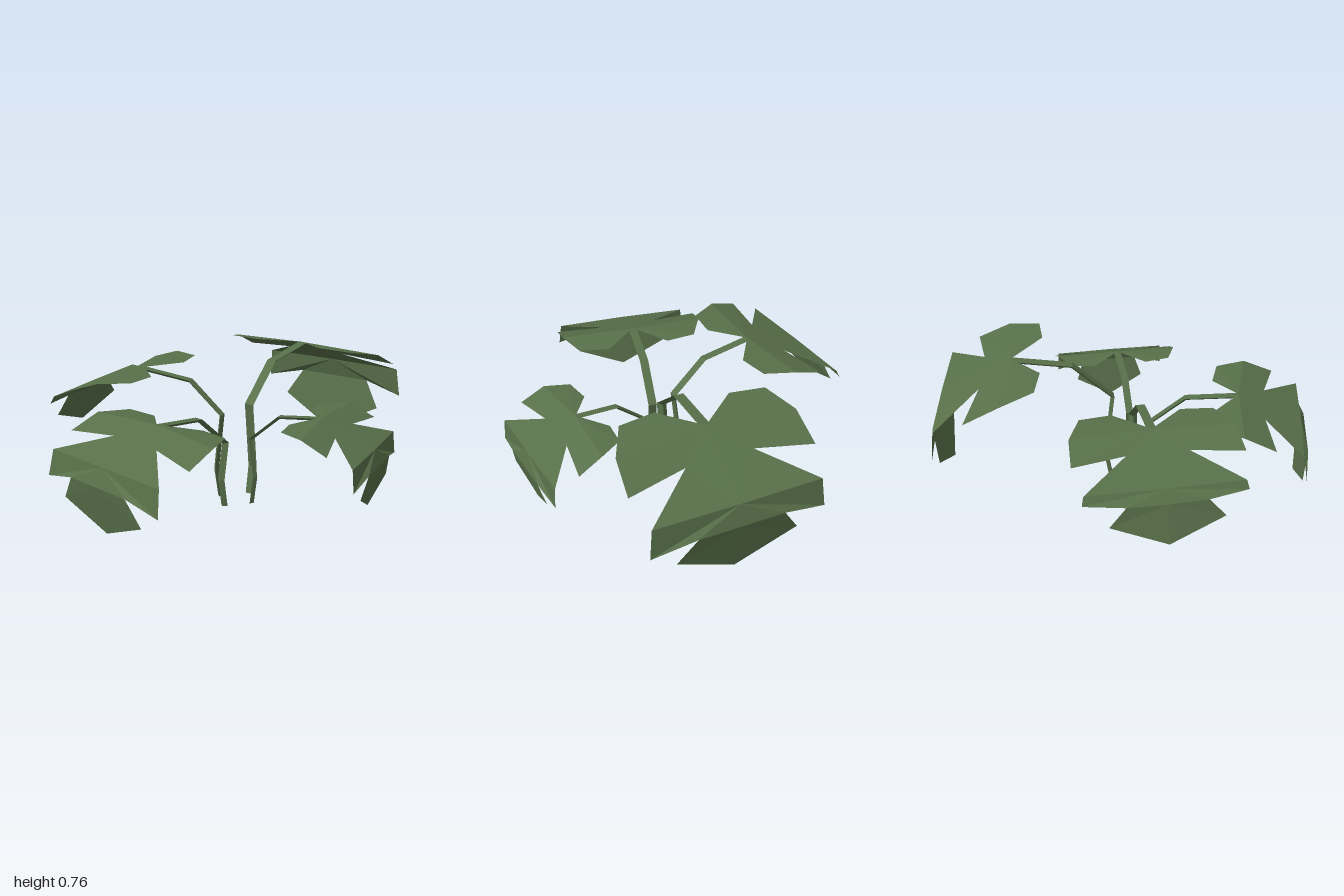
import * as THREE from 'three';

const leafGreen = new THREE.MeshStandardMaterial({ color: 0x58704a, side: THREE.DoubleSide, flatShading: true });
leafGreen.name = 'leafGreen';

function facetedMesh(name, positions) {
  const geometry = new THREE.BufferGeometry();
  geometry.setAttribute('position', new THREE.Float32BufferAttribute(positions, 3));
  geometry.computeVertexNormals();
  const mesh = new THREE.Mesh(geometry, leafGreen);
  mesh.name = name;
  return mesh;
}

// Half of a lobed, drooping leaf: x across, y up, z outward from the stalk
const half = {
  notch: [0, 0, 0],
  backInner: [0.17, -0.025, -0.14],
  backOuter: [0.33, -0.02, -0.12],
  sideTop: [0.4, -0.015, 0.03],
  sideEnd: [0.41, -0.075, 0.19],
  firstCut: [0.15, -0.055, 0.14],
  middleTop: [0.37, -0.125, 0.33],
  middleEnd: [0.385, -0.255, 0.355],
  secondCut: [0.19, -0.21, 0.37],
  endLobe: [0.27, -0.335, 0.35],
  tip: [0, -0.45, 0.325],
  ribBend: [0, -0.123, 0.335],
  ribEdge: [0, -0.21, 0.37],
};

// Leaf whose end stays more open and droops less
const openEnd = {
  backInner: [0.17, 0.003, -0.145],
  backOuter: [0.33, 0.005, -0.125],
  sideTop: [0.4, 0, 0.03],
  sideEnd: [0.41, -0.05, 0.185],
  firstCut: [0.15, -0.045, 0.14],
  middleTop: [0.375, -0.11, 0.325],
  middleEnd: [0.385, -0.15, 0.345],
  secondCut: [0.19, -0.16, 0.375],
  endLobe: [0.27, -0.25, 0.39],
  tip: [0, -0.35, 0.43],
  ribBend: [0, -0.11, 0.33],
  ribEdge: [0, -0.165, 0.375],
};
// Leaf with raised back lobes and a longer tip
const raisedBack = { backInner: [0.17, 0.008, -0.14], backOuter: [0.33, 0.005, -0.12], tip: [0, -0.47, 0.335] };
// Leaf with a narrower end
const narrowEnd = { middleEnd: [0.375, -0.25, 0.35], endLobe: [0.235, -0.335, 0.35] };

// Each facet is a fan around its first point
const facets = [
  ['notch', 'firstCut', 'sideEnd', 'sideTop', 'backOuter', 'backInner'],
  ['ribBend', 'middleTop', 'firstCut', 'notch'],
  ['ribBend', 'ribEdge', 'secondCut', 'middleEnd', 'middleTop'],
  ['ribEdge', 'tip', 'endLobe', 'secondCut'],
];

function makeBlade(shape) {
  const points = { ...half, ...shape };
  const positions = [];
  for (const side of [1, -1]) {
    for (const facet of facets) {
      for (let i = 1; i < facet.length - 1; i++) {
        const order = side > 0 ? [0, i, i + 1] : [0, i + 1, i];
        for (const k of order) {
          const [x, y, z] = points[facet[k]];
          positions.push(x * side, y, z);
        }
      }
    }
  }
  return facetedMesh('leafBlade', positions);
}

// Bent three-sided stalk running from the ground to the leaf notch
function makeStalk(height, scale) {
  const path = [
    [-height, -0.46 * scale],
    [-height + 0.15, -0.437 * scale],
    [-0.205 * scale, -0.47 * scale],
    [-0.036 * scale, -0.28 * scale],
    [-0.004, 0.01],
  ].map(([y, z]) => new THREE.Vector3(0, y, z));
  const w = 0.023 * scale;
  const rings = path.map((p, i) => {
    const along = path[Math.min(i + 1, path.length - 1)].clone().sub(path[Math.max(i - 1, 0)]).normalize();
    const up = new THREE.Vector3(0, along.z, -along.y);
    return [[-w, 0], [w, 0], [0, -w * 0.8]].map(([x, n]) => [x, p.y + up.y * n, p.z + up.z * n]);
  });
  // Keep the foot flat on the ground
  rings[0].forEach((v) => { v[1] = -height; });
  const positions = [];
  for (let i = 0; i < rings.length - 1; i++) {
    for (let j = 0; j < 3; j++) {
      const k = (j + 1) % 3;
      const a = rings[i][j], b = rings[i][k], c = rings[i + 1][k], d = rings[i + 1][j];
      positions.push(...a, ...b, ...c, ...a, ...c, ...d);
    }
  }
  return facetedMesh('leafStalk', positions);
}

// Notch position, outward heading, size, vertical stretch, downward pitch in degrees, shape changes
const leaves = [
  { name: 'frontLeaf', at: [0.09, 0.555, 0.63], out: [0, 1], size: 1, stretch: 1, pitch: 0, shape: {} },
  { name: 'leftLeaf', at: [0.54, 0.53, -0.06], out: [0.96, -0.28], size: 0.84, stretch: 1.08, pitch: 3, shape: narrowEnd },
  { name: 'rightLeaf', at: [-0.455, 0.66, 0.215], out: [-0.96, 0.28], size: 1, stretch: 1, pitch: 0, shape: openEnd },
  { name: 'backLeaf', at: [0.005, 0.74, -0.555], out: [-0.149, -0.989], size: 1.14, stretch: 1.06, pitch: 4, shape: raisedBack },
];

export function createModel() {
  const plant = new THREE.Group();
  plant.name = 'leafyPlant';
  for (const { name, at, out, size, stretch, pitch, shape } of leaves) {
    const leaf = new THREE.Group();
    leaf.name = name;
    leaf.position.set(...at);
    leaf.rotation.y = Math.atan2(out[0], out[1]);
    const blade = makeBlade(shape);
    blade.scale.set(size, size * stretch, size);
    blade.rotation.x = THREE.MathUtils.degToRad(pitch);
    leaf.add(blade, makeStalk(at[1], size));
    plant.add(leaf);
  }
  return plant;
}
